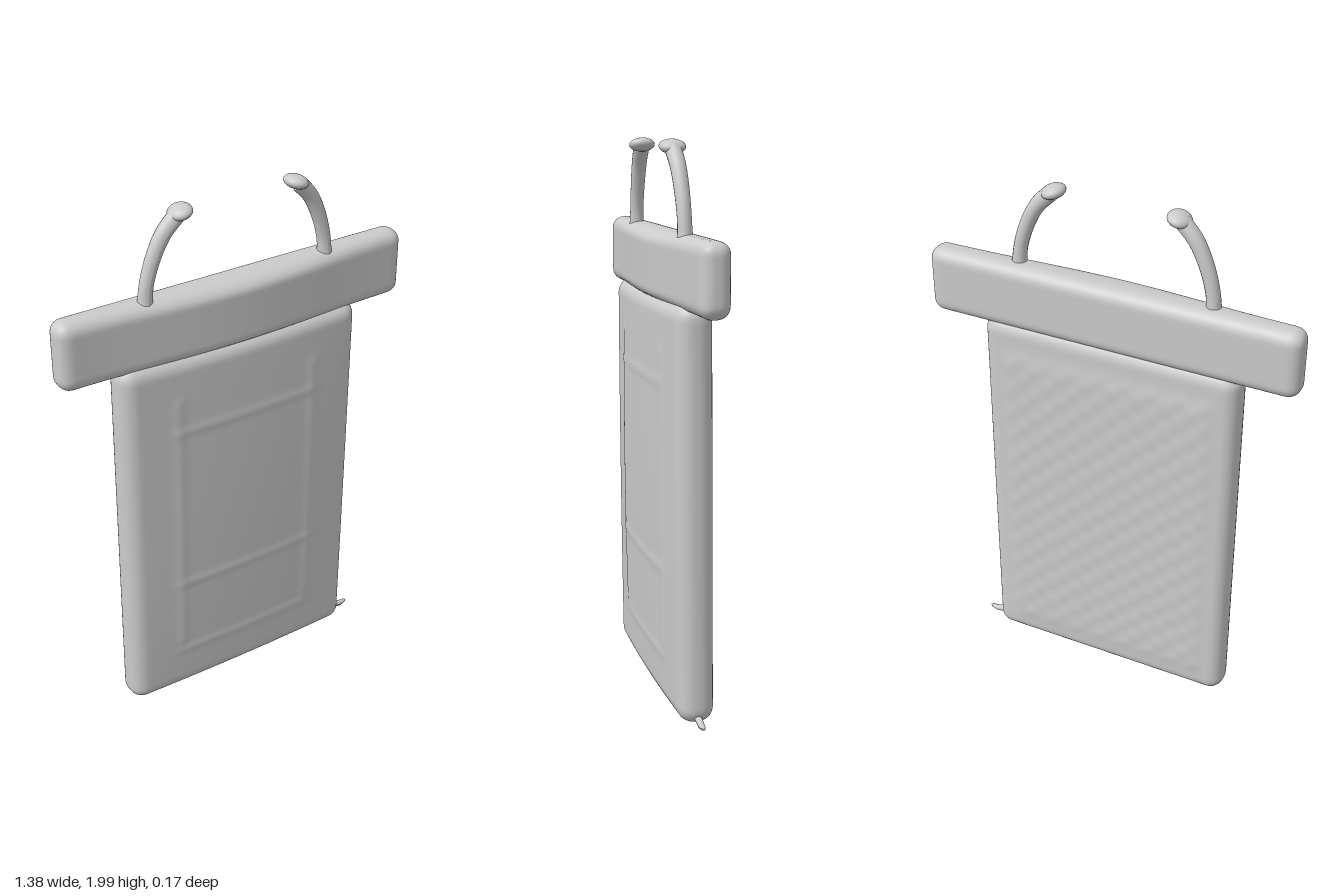
import * as THREE from 'three';
import { mergeVertices } from 'three/addons/utils/BufferGeometryUtils.js';

const material = new THREE.MeshStandardMaterial({ color: 0xcccccc });

// Finely divided box with rounded edges, then bent by rule(p, s); s is +1 on the front, -1 on the back
function softSlab(w, h, d, r, segments, rule) {
  const box = new THREE.BoxGeometry(w, h, d, ...segments);
  box.deleteAttribute('normal');
  box.deleteAttribute('uv');
  const geometry = mergeVertices(box, 1e-5);
  const pos = geometry.attributes.position;
  const half = new THREE.Vector3(w / 2 - r, h / 2 - r, d / 2 - r);
  const p = new THREE.Vector3(), inner = new THREE.Vector3();
  for (let i = 0; i < pos.count; i++) {
    p.fromBufferAttribute(pos, i);
    inner.copy(p).clamp(half.clone().negate(), half);
    p.sub(inner).normalize().multiplyScalar(r).add(inner);
    rule(p, p.z / (d / 2));
    pos.setXYZ(i, p.x, p.y, p.z);
  }
  geometry.computeVertexNormals();
  return geometry;
}

// Tube along points whose radius follows radiusAt(t), with rounded ends
function taperedTube(points, radiusAt, steps = 32, sides = 16) {
  const curve = new THREE.CatmullRomCurve3(points.map(a => new THREE.Vector3(...a)));
  const geometry = new THREE.TubeGeometry(curve, steps, 1, sides);
  const pos = geometry.attributes.position;
  const p = new THREE.Vector3();
  for (let i = 0; i < pos.count; i++) {
    const t = Math.floor(i / (sides + 1)) / steps;
    const c = curve.getPointAt(t);
    p.fromBufferAttribute(pos, i).sub(c).multiplyScalar(radiusAt(t)).add(c);
    pos.setXYZ(i, p.x, p.y, p.z);
  }
  geometry.computeVertexNormals();
  return geometry;
}

function addMesh(group, name, geometry) {
  const mesh = new THREE.Mesh(geometry, material);
  mesh.name = name;
  group.add(mesh);
  return mesh;
}

const ridge = (v, at, width) => Math.exp(-(((v - at) / width) ** 2));
const step = THREE.MathUtils.smoothstep;

export function createModel() {
  const model = new THREE.Group();
  model.name = 'hangingBanner';

  // Banner sheet: bulged front with faint raised lines, quilted back
  const H = 1.46;
  addMesh(model, 'bannerPanel', softSlab(0.97, H, 0.125, 0.055, [80, 110, 10], (p, s) => {
    const x = p.x, y = p.y + H / 2 + 0.01;
    const across = Math.max(0, 1 - (x / 0.485) ** 2);
    const along = Math.max(0, 1 - ((y - 0.8) / 0.85) ** 2);
    if (s > 0) {
      const frame = ridge(Math.abs(x), 0.28, 0.02) * step(y, 0.2, 0.26) * (1 - step(y, 1.28, 1.34));
      const lines = (ridge(y, 0.52, 0.015) + ridge(y, 1.18, 0.015) + ridge(y, 0.2, 0.015)) * (1 - step(Math.abs(x), 0.25, 0.34));
      p.z += s * (0.028 * across * (0.25 + 0.75 * along) + 0.003 * frame + 0.003 * lines);
    } else {
      const field = (1 - step(Math.abs(x), 0.36, 0.43)) * step(y, 0.06, 0.14) * (1 - step(y, 1.3, 1.38));
      const quilt = Math.sin(x * 62) * Math.sin(y * 62);
      p.z += s * field * (0.006 + 0.0015 * quilt);
    }
    // slight backward lean towards the bottom
    p.z -= 0.002 + 0.013 * (1 - y / H);
  })).position.set(0, H / 2 + 0.01, 0);

  // Wide header bar: flat back, front swelling towards the middle
  addMesh(model, 'headerBar', softSlab(1.38, 0.25, 0.105, 0.045, [90, 24, 12], (p, s) => {
    const swell = 0.5 + 0.5 * Math.cos(Math.PI * Math.min(1, Math.abs(p.x) / 0.69));
    if (s > 0) p.z += s * 0.036 * swell;
  })).position.set(0, 1.565, -0.0125);

  // Pair of inward-curving hanging hooks with flattened knobs
  for (const side of [-1, 1]) {
    const hook = new THREE.Group();
    hook.name = side > 0 ? 'leftHook' : 'rightHook';
    addMesh(hook, 'hookArm', taperedTube([
      [side * 0.362, 1.66, 0.008], [side * 0.354, 1.74, 0.009], [side * 0.328, 1.83, 0.011],
      [side * 0.288, 1.91, 0.014], [side * 0.235, 1.968, 0.018],
    ], t => 0.023 + 0.006 * t + 0.008 * Math.exp(-t * 12)));
    const knob = addMesh(hook, 'hookKnob', new THREE.SphereGeometry(1, 24, 16));
    knob.scale.set(0.042, 0.024, 0.047);
    knob.position.set(side * 0.226, 1.974, 0.018);
    knob.rotation.z = -side * 0.25;
    model.add(hook);
  }

  // Small loose thread at the lower left corner
  addMesh(model, 'cornerThread', taperedTube([
    [0.44, 0.035, -0.015], [0.49, 0.03, -0.015], [0.52, 0.024, -0.015], [0.553, 0.028, -0.015],
  ], t => 0.013 * Math.sqrt(Math.max(0, 1 - t ** 4)), 20, 10));

  return model;
}
